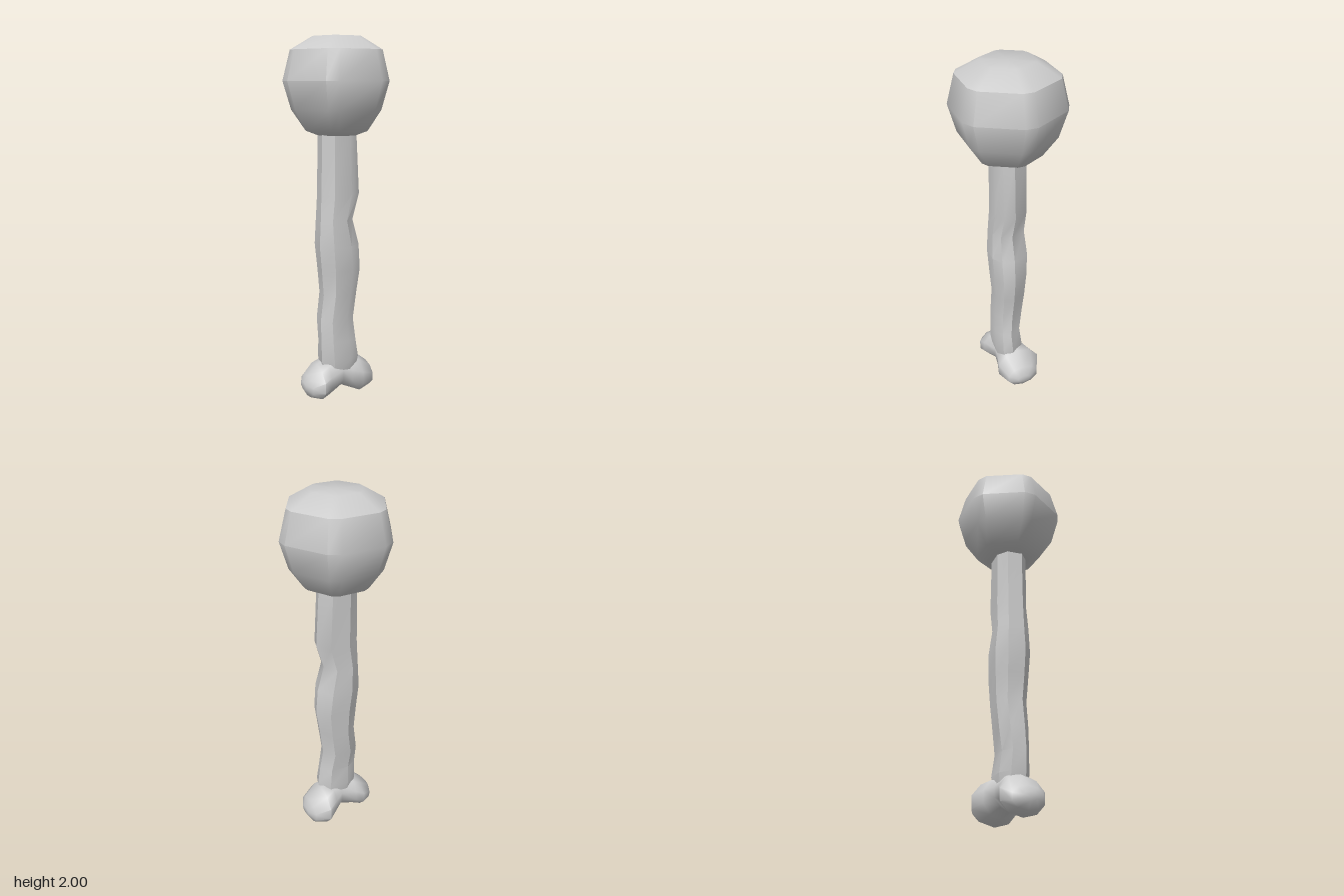
import * as THREE from 'three';
import { toCreasedNormals } from 'three/addons/utils/BufferGeometryUtils.js';

const material = new THREE.MeshStandardMaterial({ color: 0xcccccc });

// Skins a stack of equal-length rings and closes both ends
function loft(name, rings, creaseDegrees) {
  const n = rings[0].length;
  const points = rings.flat();
  const index = [];
  for (let i = 0; i < rings.length - 1; i++) {
    for (let j = 0; j < n; j++) {
      const a = i * n + j, b = i * n + (j + 1) % n;
      index.push(a, a + n, b, b, a + n, b + n);
    }
  }
  const middle = (ring) => ring.reduce((s, p) => s.add(p), new THREE.Vector3()).divideScalar(n);
  const last = (rings.length - 1) * n, start = points.length, end = start + 1;
  points.push(middle(rings[0]), middle(rings[rings.length - 1]));
  for (let j = 0; j < n; j++) {
    const k = (j + 1) % n;
    index.push(start, j, k, end, last + k, last + j);
  }
  const geometry = new THREE.BufferGeometry().setFromPoints(points);
  geometry.setIndex(index);
  const mesh = new THREE.Mesh(
    toCreasedNormals(geometry, THREE.MathUtils.degToRad(creaseDegrees)), material);
  mesh.name = name;
  return mesh;
}

// Head: chamfered hexagon sections, [y, half width, half depth]
function createHead() {
  const quarter = [[1, 0.12], [0.6, 0.88], [0.395, 1]];
  const outline = [
    ...quarter,
    ...quarter.map(([x, z]) => [-x, z]).reverse(),
    ...quarter.map(([x, z]) => [-x, -z]),
    ...quarter.map(([x, z]) => [x, -z]).reverse(),
  ];
  const levels = [
    [1.495, 0.11, 0.1], [1.52, 0.175, 0.165], [1.63, 0.252, 0.235],
    [1.775, 0.296, 0.273], [1.93, 0.255, 0.237], [2, 0.135, 0.125],
  ];
  const rings = levels.map(([y, w, d]) =>
    outline.map(([x, z]) => new THREE.Vector3(x * w, y, z * d)));
  return loft('head', rings, 42);
}

// Shaft: uneven octagonal bone, [y, xMin, xMax, zMin, zMax]
function createShaft() {
  const outline = [
    [1, 0], [0.84, 0.66], [0.35, 1], [-0.5, 0.96],
    [-1, 0.4], [-0.9, -0.55], [-0.35, -1], [0.6, -0.92],
  ];
  const levels = [
    [0.15, -0.1, 0.1, -0.06, 0.08],
    [0.24, -0.118, 0.118, -0.068, 0.094],
    [0.35, -0.119, 0.1, -0.056, 0.09],
    [0.47, -0.12, 0.085, -0.075, 0.087],
    [0.62, -0.1, 0.106, -0.082, 0.087],
    [0.76, -0.113, 0.126, -0.088, 0.098],
    [0.9, -0.126, 0.115, -0.096, 0.105],
    [1.04, -0.118, 0.076, -0.086, 0.095],
    [1.18, -0.112, 0.12, -0.083, 0.09],
    [1.52, -0.105, 0.1, -0.085, 0.09],
  ];
  const rings = levels.map(([y, x0, x1, z0, z1]) =>
    outline.map(([x, z]) => new THREE.Vector3(
      (x0 + x1) / 2 + x * (x1 - x0) / 2, y, (z0 + z1) / 2 + z * (z1 - z0) / 2)));
  return loft('shaft', rings, 33);
}

// Knuckle: two rounded lobes with a saddle between, [x, yMin, yMax, zMin, zMax]
function createKnuckle() {
  const sides = 10;
  const stations = [
    [-0.218, 0.075, 0.12, -0.02, 0.05],
    [-0.195, 0.035, 0.155, -0.07, 0.1],
    [-0.135, 0.012, 0.212, -0.105, 0.135],
    [-0.09, 0.028, 0.235, -0.09, 0.122],
    [0, 0.065, 0.235, -0.075, 0.085],
    [0.055, 0.032, 0.24, -0.11, 0.09],
    [0.115, 0, 0.23, -0.148, 0.105],
    [0.195, 0.025, 0.165, -0.11, 0.07],
    [0.22, 0.07, 0.115, -0.055, 0.02],
  ];
  const rings = stations.map(([x, y0, y1, z0, z1]) =>
    Array.from({ length: sides }, (_, j) => {
      const a = (j + 0.5) / sides * Math.PI * 2;
      return new THREE.Vector3(x,
        (y0 + y1) / 2 + Math.sin(a) * (y1 - y0) / 2,
        (z0 + z1) / 2 + Math.cos(a) * (z1 - z0) / 2 / Math.cos(Math.PI / sides));
    }));
  return loft('knuckle', rings, 65);
}

export function createModel() {
  const model = new THREE.Group();
  model.name = 'boneClub';
  model.add(createHead(), createShaft(), createKnuckle());
  return model;
}
